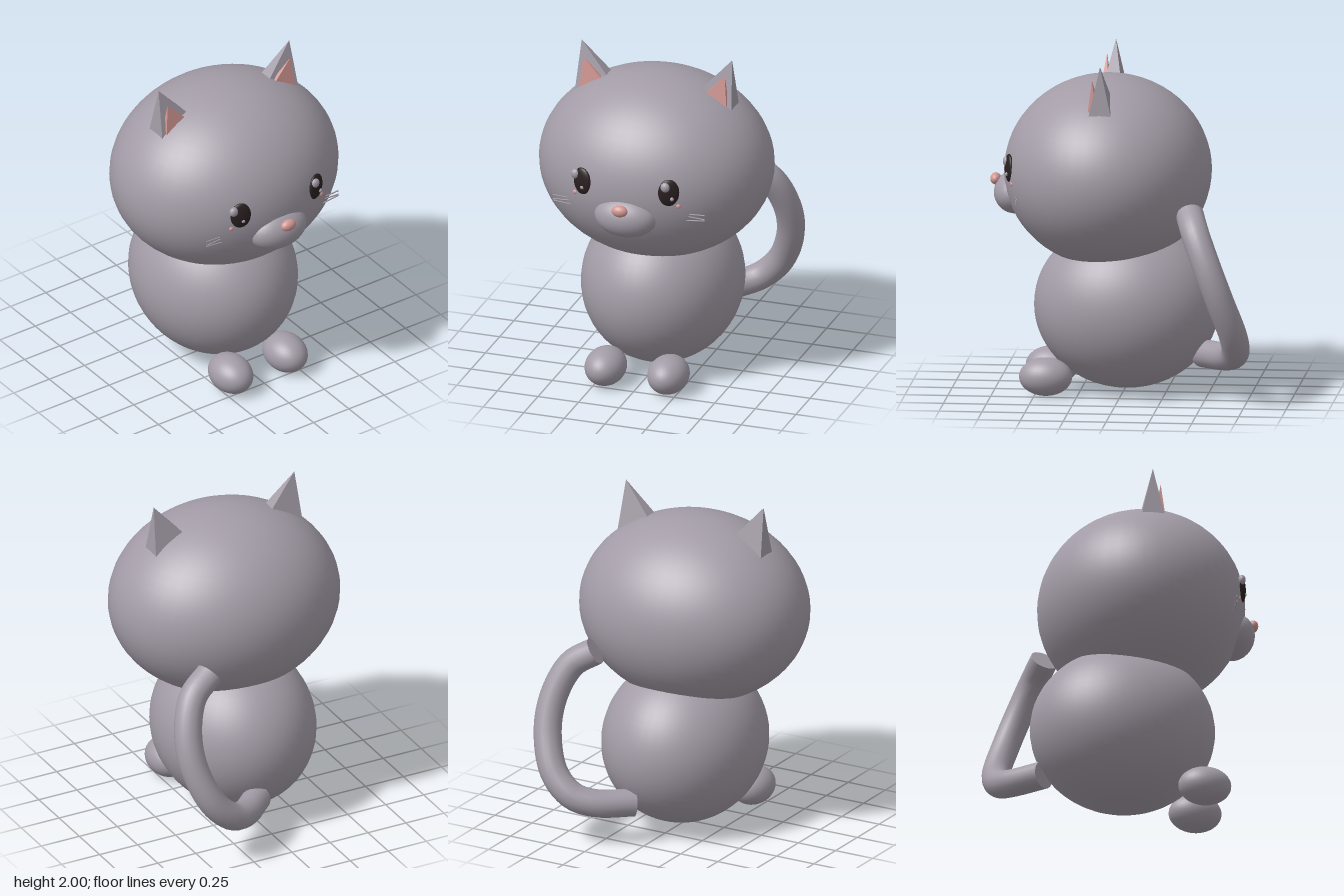
import * as THREE from 'three';
import { ConvexGeometry } from 'three/addons/geometries/ConvexGeometry.js';

const mat = (name, color) => {
  const m = new THREE.MeshStandardMaterial({ color });
  m.name = name;
  return m;
};

export function createModel() {
  const fur = mat('greyFur', 0xa39ca7);
  const pink = mat('pink', 0xd29894);
  const dark = mat('darkBrown', 0x2a2020);
  const model = new THREE.Group();
  model.name = 'cat';

  const add = (name, geometry, material) => {
    const mesh = new THREE.Mesh(geometry, material);
    mesh.name = name;
    model.add(mesh);
    return mesh;
  };
  const ellipsoid = (name, material, position, radii, w = 24, h = 16) => {
    const mesh = add(name, new THREE.SphereGeometry(1, w, h), material);
    mesh.position.set(...position);
    mesh.scale.set(...radii);
    return mesh;
  };

  // Leaning four-sided spike: tip and a rectangular base sunk into the head
  const spike = (name, material, s, tip, baseY, [x0, x1], [z0, z1]) => {
    const points = [new THREE.Vector3(s * tip[0], tip[1], tip[2])];
    for (const x of [x0, x1])
      for (const z of [z0, z1]) points.push(new THREE.Vector3(s * x, baseY, z));
    add(name, new ConvexGeometry(points), material);
  };

  // Body and head
  ellipsoid('body', fur, [0, 0.52, -0.02], [0.47, 0.49, 0.54], 48, 32);
  ellipsoid('head', fur, [0, 1.31, 0.09], [0.695, 0.56, 0.603], 48, 32);

  // Muzzle and nose
  ellipsoid('muzzle', fur, [0, 1.17, 0.63], [0.19, 0.125, 0.125], 32, 20);
  ellipsoid('nose', pink, [0, 1.245, 0.745], [0.049, 0.035, 0.032]);

  for (const s of [-1, 1]) {
    const side = s > 0 ? 'left' : 'right';

    ellipsoid(side + 'Foot', fur, [s * 0.193, 0.115, 0.435], [0.12, 0.112, 0.155], 32, 20);

    // Ear with pink inside
    spike(side + 'Ear', fur, s, [0.463, 2.0, 0.09], 1.64, [0.486, 0.14], [0.01, 0.17]);
    spike(side + 'InnerEar', pink, s, [0.435, 1.915, 0.14], 1.64, [0.462, 0.17], [0.1, 0.173]);

    // Eye turned to follow the face, with two highlights
    const eye = ellipsoid(side + 'Eye', dark, [s * 0.266, 1.357, 0.64], [0.062, 0.083, 0.022]);
    eye.rotation.y = s * 0.36;
    const big = s > 0 ? [0.25, 1.395, 0.657] : [-0.31, 1.395, 0.635];
    const small = s > 0 ? [0.29, 1.325, 0.653] : [-0.26, 1.325, 0.66];
    ellipsoid(side + 'EyeHighlight', fur, big, [0.028, 0.03, 0.022]);
    ellipsoid(side + 'EyeGlint', fur, small, [0.012, 0.012, 0.01], 12, 8);

    // Blush spot
    ellipsoid(side + 'Cheek', pink, [s * 0.315, 1.272, 0.618], [0.018, 0.016, 0.012], 12, 8);

    // Whiskers
    [[1.215, 0.05], [1.195, -0.06], [1.178, 0.1]].forEach(([y, tilt], i) => {
      const whisker = add(side + 'Whisker' + i, new THREE.CylinderGeometry(0.004, 0.004, 0.11, 6), fur);
      whisker.position.set(s * 0.412, y, 0.583);
      whisker.rotation.z = Math.PI / 2 + s * tilt;
    });
  }

  // Tail curling from the lower back up to the head
  const path = new THREE.CatmullRomCurve3([
    [0.08, 0.25, -0.47], [0.25, 0.265, -0.63], [0.37, 0.31, -0.69], [0.49, 0.43, -0.69],
    [0.575, 0.65, -0.62], [0.575, 0.85, -0.545], [0.5, 1.03, -0.47], [0.37, 1.12, -0.425],
  ].map(p => new THREE.Vector3(...p)));
  const tailRadius = 0.082;
  add('tail', new THREE.TubeGeometry(path, 40, tailRadius, 20), fur);
  for (const [t, dir] of [[0, -1], [1, 1]]) {
    const cap = add('tailEnd', new THREE.CircleGeometry(tailRadius, 20), fur);
    cap.position.copy(path.getPointAt(t));
    cap.quaternion.setFromUnitVectors(
      new THREE.Vector3(0, 0, 1), path.getTangentAt(t).multiplyScalar(dir));
  }

  return model;
}
